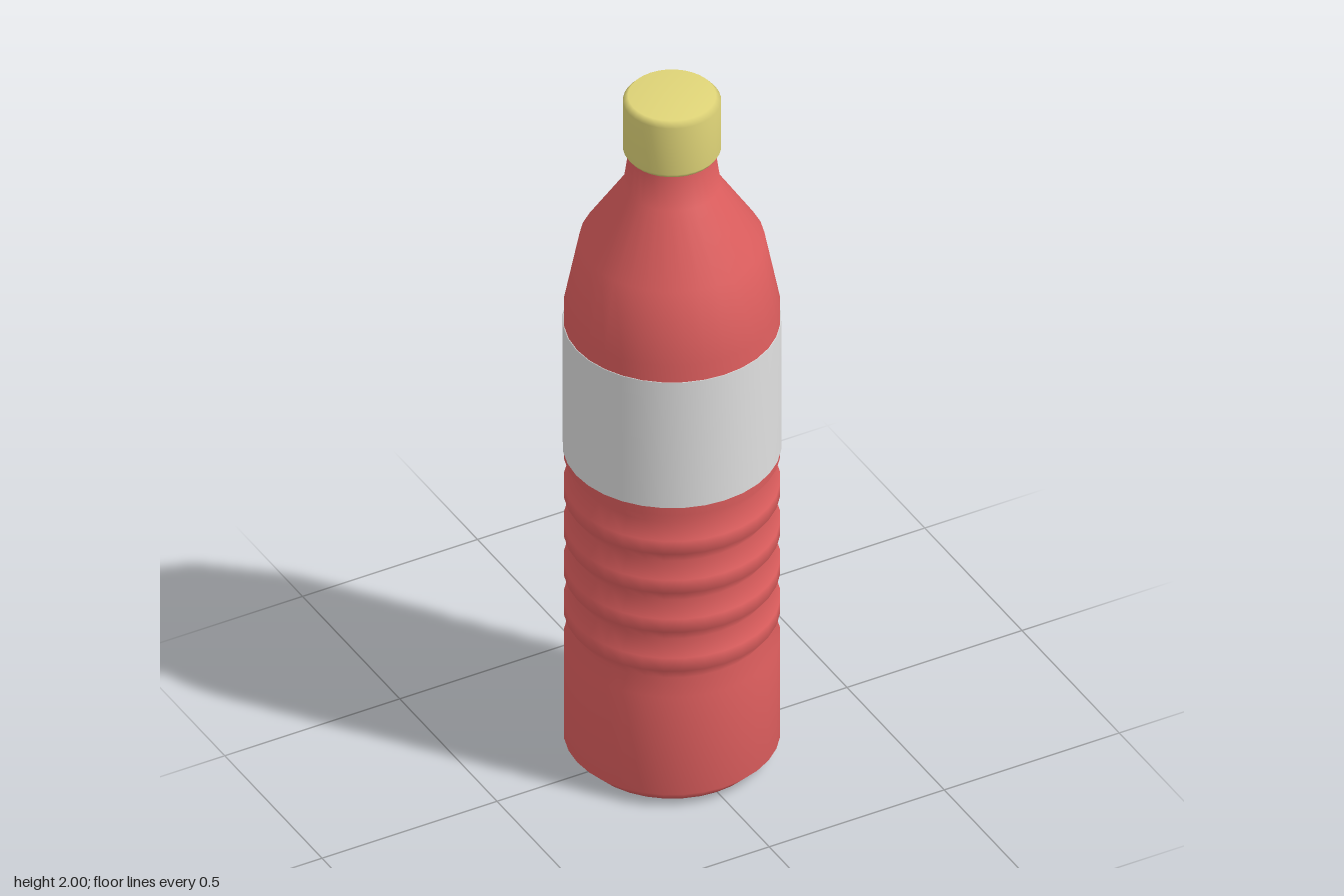
import * as THREE from 'three';

const SEGMENTS = 32;
const R = 0.271; // main body radius
const GROOVE_R = 0.243;

function material(name, color) {
  const m = new THREE.MeshStandardMaterial({ color });
  m.name = name;
  return m;
}

// Revolve a bottom-to-top list of [radius, height] pairs
function turned(name, profile, mat) {
  const points = profile.map(([r, y]) => new THREE.Vector2(r, y));
  const mesh = new THREE.Mesh(new THREE.LatheGeometry(points, SEGMENTS), mat);
  mesh.name = name;
  return mesh;
}

export function createModel() {
  const red = material('red plastic', 0xe05f5f);
  const yellow = material('yellow cap plastic', 0xe0d578);
  const white = material('white label paper', 0xe0e0e0);

  const bottle = new THREE.Group();
  bottle.name = 'bottle';

  // Base, five evenly spaced grip grooves, then shoulder and neck
  const body = [[0, 0], [0.232, 0], [R, 0.04]];
  for (let i = 0; i < 5; i++) {
    const y = 0.38 + i * 0.12;
    body.push([R, y - 0.04], [GROOVE_R, y], [R, y + 0.04]);
  }
  body.push([R, 1.36], [0.232, 1.56], [0.122, 1.73], [0.108, 1.83], [0.108, 1.86]);
  bottle.add(turned('body', body, red));

  // Paper band wrapped around the body
  bottle.add(turned('label', [
    [R, 0.925], [0.274, 0.925], [0.274, 1.31], [R, 1.31],
  ], white));

  // Screw cap with small bevels at both rims
  bottle.add(turned('cap', [
    [0.1, 1.83], [0.115, 1.83], [0.123, 1.842], [0.123, 1.985], [0.11, 2], [0, 2],
  ], yellow));

  return bottle;
}
